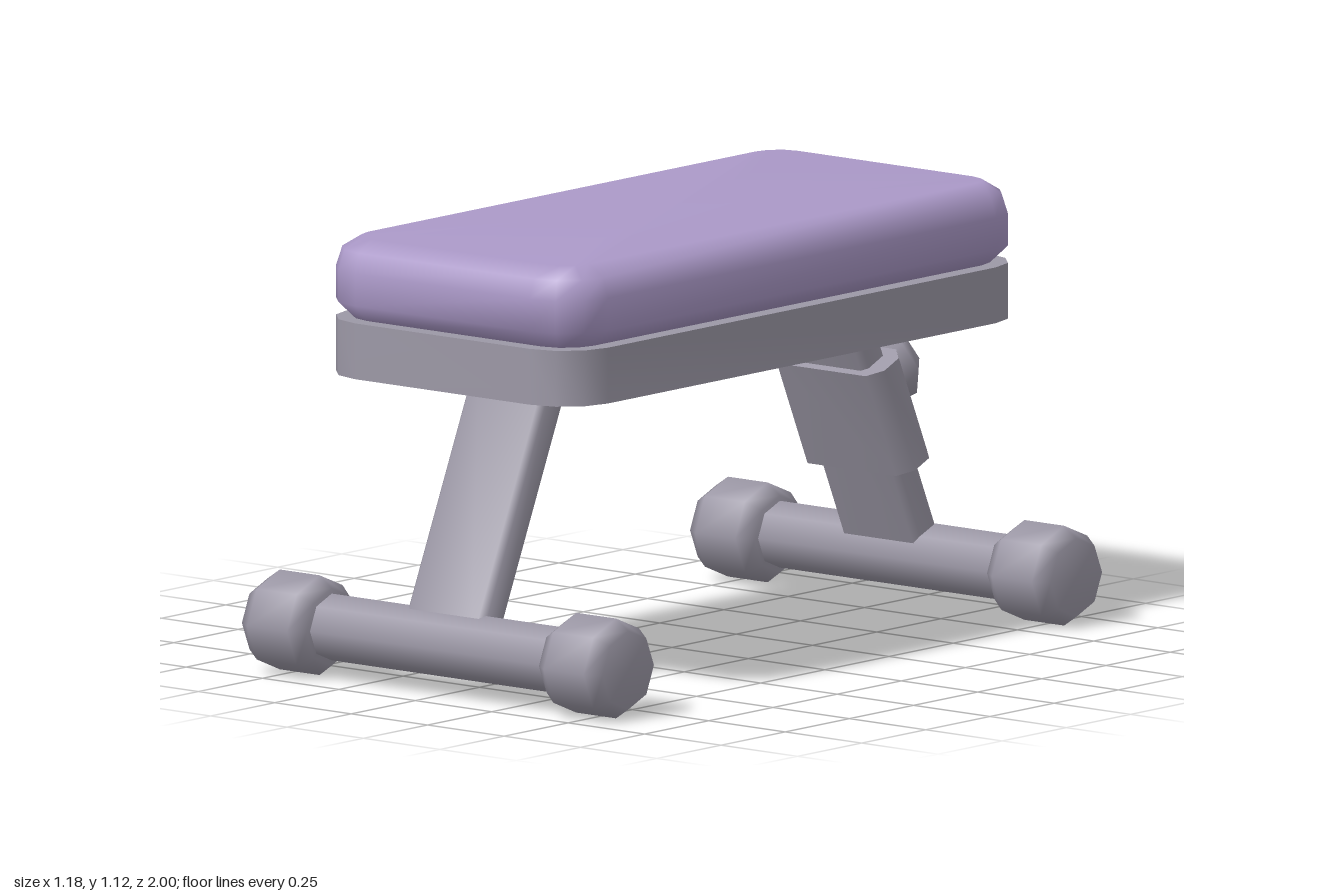
import * as THREE from 'three';
import { toCreasedNormals } from 'three/addons/utils/BufferGeometryUtils.js';

const steel = new THREE.MeshStandardMaterial({ color: 0x9c98a6 });
steel.name = 'grey steel';
const vinyl = new THREE.MeshStandardMaterial({ color: 0xab99c8 });
vinyl.name = 'purple vinyl';

function add(parent, name, geometry, material = steel) {
  const mesh = new THREE.Mesh(geometry, material);
  mesh.name = name;
  parent.add(mesh);
  return mesh;
}

// Outline of a rectangle with rounded corners, counter-clockwise
function roundedRect(w, d, r, steps) {
  const points = [];
  const corners = [[1, 1], [-1, 1], [-1, -1], [1, -1]];
  corners.forEach(([sx, sy], q) => {
    for (let i = 0; i <= steps; i++) {
      const a = (q + i / steps) * Math.PI / 2;
      points.push(new THREE.Vector2(
        sx * (w / 2 - r) + r * Math.cos(a),
        sy * (d / 2 - r) + r * Math.sin(a)));
    }
  });
  return points;
}

// Upright bar with a rounded cross-section, centred on its middle
function prism(w, d, h, r, steps) {
  const geo = new THREE.ExtrudeGeometry(new THREE.Shape(roundedRect(w, d, r, steps)),
    { depth: h, bevelEnabled: false });
  geo.translate(0, 0, -h / 2).rotateX(-Math.PI / 2);
  return toCreasedNormals(geo, 0.95);
}

// Padded cushion lofted through rounded loops [height, inset]
function cushionGeometry(w, d, r) {
  const levels = [[0.91, 0.05], [0.958, 0], [1.04, 0], [1.09, 0.016], [1.12, 0.065]];
  const positions = [], index = [];
  let n = 0;
  for (const [y, inset] of levels) {
    const loop = roundedRect(w - 2 * inset, d - 2 * inset, r - inset, 3);
    n = loop.length;
    loop.forEach(p => positions.push(p.x, y, -p.y));
  }
  const last = (levels.length - 1) * n;
  const bottom = last + n, top = bottom + 1;
  positions.push(0, levels[0][0], 0, 0, levels[levels.length - 1][0], 0);
  for (let i = 0; i < n; i++) {
    const j = (i + 1) % n;
    for (let k = 0; k < last; k += n) {
      index.push(k + i, k + j, k + n + j, k + i, k + n + j, k + n + i);
    }
    index.push(bottom, j, i, top, last + i, last + j);
  }
  const geo = new THREE.BufferGeometry();
  geo.setAttribute('position', new THREE.Float32BufferAttribute(positions, 3));
  geo.setIndex(index);
  geo.computeVertexNormals();
  return geo;
}

const lathe = (profile) =>
  new THREE.LatheGeometry(profile.map(p => new THREE.Vector2(...p)), 8);

// Sloping leg on a cross tube with a rubber-style cap at each end
function support(name) {
  const group = new THREE.Group();
  group.name = name;

  const tube = add(group, 'crossTube', new THREE.CylinderGeometry(0.085, 0.085, 0.9, 8));
  tube.rotation.z = Math.PI / 2;
  tube.position.set(0, 0.128, 0.873);

  for (const side of [-1, 1]) {
    const cap = add(group, side > 0 ? 'leftEndCap' : 'rightEndCap', lathe([
      [0, 0.38], [0.098, 0.38], [0.127, 0.42], [0.127, 0.55], [0.1, 0.59], [0, 0.59]]));
    cap.rotation.z = -side * Math.PI / 2;
    cap.position.copy(tube.position);
  }

  const sloped = new THREE.Group();
  sloped.name = 'slopedLeg';
  sloped.position.set(0, 0.465, 0.725);
  sloped.rotation.x = -0.415;
  group.add(sloped);
  add(sloped, 'leg', prism(0.256, 0.091, 0.74, 0.015, 1));
  return { group, sloped };
}

export function createModel() {
  const model = new THREE.Group();
  model.name = 'weightBench';

  // Seat
  add(model, 'cushion', cushionGeometry(0.85, 1.79, 0.14), vinyl);
  add(model, 'seatBoard', prism(0.85, 1.79, 0.142, 0.14, 3)).position.y = 0.843;

  // Front and rear supports
  const front = support('frontSupport');
  const rear = support('rearSupport');
  rear.group.rotation.y = Math.PI;
  model.add(front.group, rear.group);

  // Height adjustment on the rear leg
  add(rear.sloped, 'sleeve', prism(0.36, 0.13, 0.295, 0.035, 1)).position.y = 0.06;
  const knob = add(rear.sloped, 'adjustmentKnob', lathe([
    [0, 0.05], [0.082, 0.06], [0.104, 0.16], [0.07, 0.207], [0, 0.21]]));
  knob.rotation.x = Math.PI / 2;
  knob.position.y = 0.085;

  return model;
}
